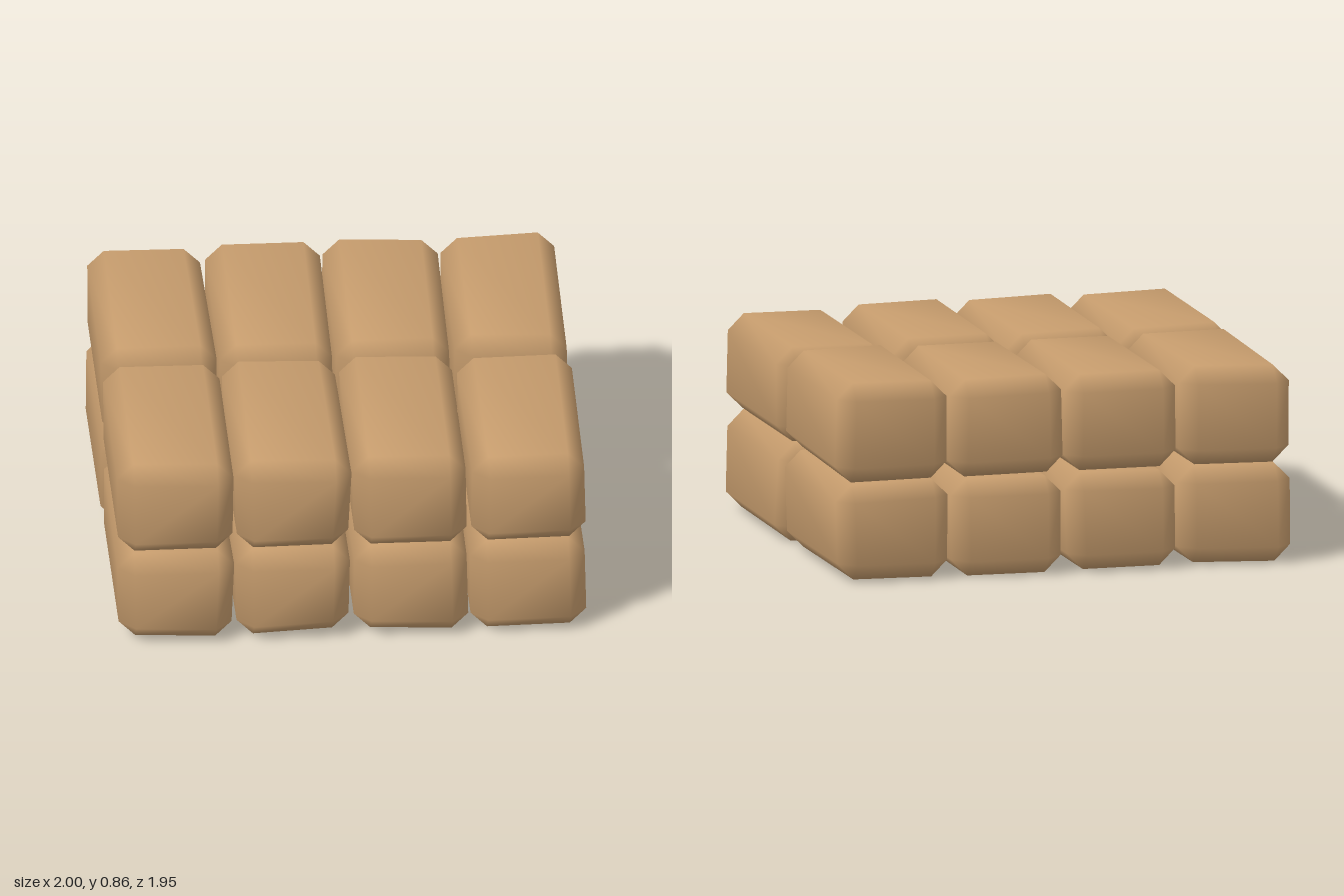
import * as THREE from 'three';

const CHAMFER = 0.07;

// Small repeatable noise for the hand-cut unevenness
function seeded(seed) {
  let s = seed;
  return () => (s = (s * 16807) % 2147483647) / 2147483647;
}

// Chamfered block from 8 corners (bits 0, 1, 2 of the index = +x, +y, +z);
// each corner becomes three points, one on each adjoining face.
function chamferedBlock(corners) {
  const points = [];
  corners.forEach((p, k) => {
    for (let face = 0; face < 3; face++) {
      const v = p.map((n, i) => (i === face ? n : n - ((k >> i) & 1 ? CHAMFER : -CHAMFER)));
      points.push(new THREE.Vector3(...v));
    }
  });

  const index = [];
  const addTriangle = (a, b, c) => {
    const [A, B, C] = [points[a], points[b], points[c]];
    const normal = B.clone().sub(A).cross(C.clone().sub(A));
    const centre = A.clone().add(B).add(C);
    if (normal.dot(centre) > 0) index.push(a, b, c);
    else index.push(a, c, b);
  };
  const addQuad = (a, b, c, d) => { addTriangle(a, b, c); addTriangle(a, c, d); };
  const id = (corner, face) => corner * 3 + face;

  for (let a = 0; a < 3; a++) {
    const b = (a + 1) % 3, c = (a + 2) % 3;
    const A = 1 << a, B = 1 << b, C = 1 << c;
    // main faces
    for (const side of [0, A]) {
      addQuad(id(side, a), id(side | B, a), id(side | B | C, a), id(side | C, a));
    }
    // edge strips
    for (const k of [0, B, C, B | C]) {
      addQuad(id(k, b), id(k | A, b), id(k | A, c), id(k, c));
    }
  }
  // corner triangles
  for (let k = 0; k < 8; k++) addTriangle(id(k, 0), id(k, 1), id(k, 2));

  const geometry = new THREE.BufferGeometry().setFromPoints(points);
  geometry.setIndex(index);
  geometry.computeVertexNormals();
  return geometry;
}

export function createModel() {
  const group = new THREE.Group();
  group.name = 'brickStack';
  const clay = new THREE.MeshStandardMaterial({ color: 0xc69c6d });
  clay.name = 'clay';
  const random = seeded(4271);

  // Left and right heights of outer edges, and back ends, per column
  const topY = [[0.86, 0.85], [0.86, 0.85], [0.86, 0.853], [0.838, 0.84]];
  const bottomY = [[0.02, 0.005], [0.01, 0.025], [0.02, 0.005], [0.004, 0.006]];
  const backZ = [[-0.97, -0.95], [-0.98, -0.98], [-0.977, -0.965], [-0.963, -0.974]];
  const frontZ = [[0.963, 0.969], [0.97, 0.97], [0.972, 0.974], [0.974, 0.972]];

  for (let layer = 0; layer < 2; layer++) {
    for (let row = 0; row < 2; row++) {
      for (let column = 0; column < 4; column++) {
        const x0 = -1 + column * 0.5;
        const centre = [x0 + 0.25, layer ? 0.64 : 0.217, row ? 0.487 : -0.487];
        const corners = [];
        for (let k = 0; k < 8; k++) {
          const right = k & 1, up = (k >> 1) & 1, front = (k >> 2) & 1;
          const slack = () => random() * 0.018;
          const x = right ? x0 + 0.5 - slack() : x0 + slack() * 0.6;
          let y = up ? 0.43 * (layer + 1) - slack() * 0.5 : 0.43 * layer + slack() * 0.5;
          if (layer && up) y = row ? topY[column][right] : 0.86 - slack() * 0.6;
          if (!layer && !up) y = row ? bottomY[column][right] : 0.004 + slack() * 0.5;
          let z = front ? -slack() : slack();
          if (row && front) z = frontZ[column][right];
          if (!row && !front) z = backZ[column][right];
          corners.push([x - centre[0], y - centre[1], z - centre[2]]);
        }
        const brick = new THREE.Mesh(chamferedBlock(corners), clay);
        brick.name = `${layer ? 'upper' : 'lower'}${row ? 'Front' : 'Back'}Brick${column + 1}`;
        brick.position.set(...centre);
        group.add(brick);
      }
    }
  }
  return group;
}
